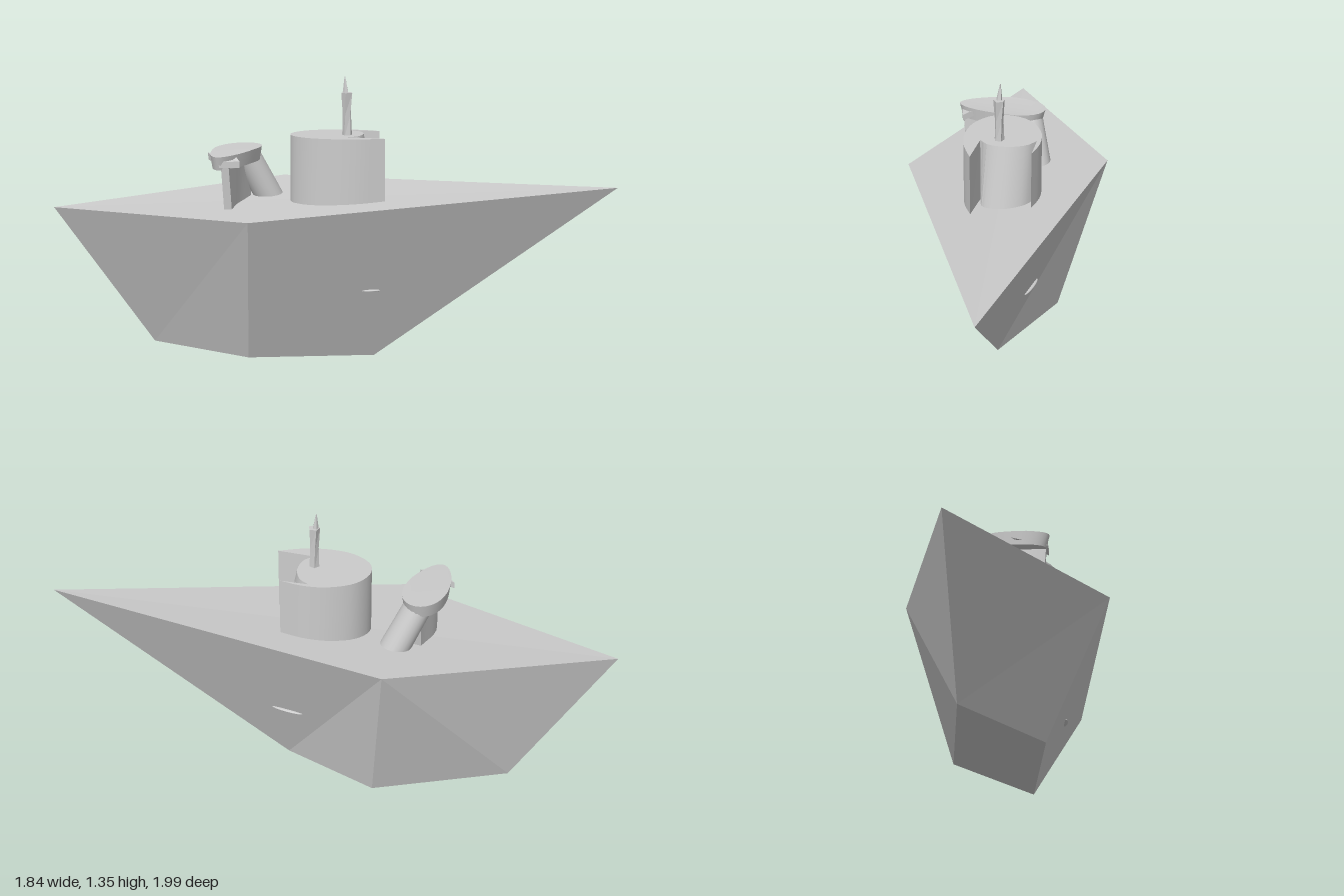
import * as THREE from 'three';
import { toCreasedNormals } from 'three/addons/utils/BufferGeometryUtils.js';

const material = new THREE.MeshStandardMaterial({ color: 0xcccccc, side: THREE.DoubleSide });
const V = (x, y, z) => new THREE.Vector3(x, y, z);

// Closed solid through horizontal loops of Vector3, lowest first, anticlockwise from above
function loft(loops, crease = 0.5, splitOtherWay = () => false) {
  const p = [];
  const tri = (...vs) => vs.forEach((v) => p.push(v.x, v.y, v.z));
  for (let k = 0; k < loops.length - 1; k++) {
    const b = loops[k], t = loops[k + 1];
    for (let i = 0; i < b.length; i++) {
      const j = (i + 1) % b.length;
      if (splitOtherWay(i)) { tri(b[i], b[j], t[i]); tri(b[j], t[j], t[i]); }
      else { tri(b[i], b[j], t[j]); tri(b[i], t[j], t[i]); }
    }
  }
  const cap = (loop, up) => {
    const flat = loop.map((v) => new THREE.Vector2(v.x, -v.z));
    for (const [a, b, c] of THREE.ShapeUtils.triangulateShape(flat, [])) {
      if (up) tri(loop[a], loop[b], loop[c]);
      else tri(loop[a], loop[c], loop[b]);
    }
  };
  cap(loops[0], false);
  cap(loops[loops.length - 1], true);
  const g = new THREE.BufferGeometry();
  g.setAttribute('position', new THREE.Float32BufferAttribute(p, 3));
  return toCreasedNormals(g, crease);
}

// Smooth open line through [x, z] points at height y
function smooth(points, y, n) {
  return new THREE.CatmullRomCurve3(points.map(([x, z]) => V(x, y, z))).getPoints(n);
}

export function createModel() {
  const model = new THREE.Group();
  const add = (name, geometry, parent = model) => {
    const m = new THREE.Mesh(geometry, material);
    m.name = name;
    parent.add(m);
    return m;
  };

  // Faceted hull with a sloping deck and a small keel
  const keel = [V(-0.64, 0.02, 0.6), V(-0.1, 0.02, 0.4), V(0.15, 0, -0.16), V(-0.35, 0.01, -0.01)];
  const deck = [V(-0.92, 0.69, 0.99), V(0.15, 0.725, 0.56), V(0.92, 0.84, -1), V(-0.56, 0.795, -0.12)];
  add('hull', loft([keel, deck], 0.02, (i) => i % 2 === 1));

  // Small bulges on the two long hull sides
  for (const [x, z, dx, dz, half] of [[0.264, -0.055, 0.42, -0.91, 0.045], [0.02, -0.25, 1.21, -0.7, 0.085]]) {
    const bulge = add('hullBulge', new THREE.SphereGeometry(1, 16, 8));
    bulge.scale.set(half, 0.006, 0.015);
    bulge.position.set(x, 0.352, z);
    bulge.rotation.y = Math.atan2(-dz, dx);
  }

  // Oval tower with a sloping bulged wall in its notched back
  const oval = [[0.04, -0.27], [-0.06, -0.21], [-0.14, -0.12], [-0.18, 0], [-0.155, 0.1], [-0.1, 0.153],
    [-0.04, 0.17], [0.06, 0.152], [0.16, 0.08], [0.23, -0.01], [0.28, -0.12]];
  const wallTop = [[0.135, -0.01], [0.135, -0.07], [0.08, -0.145], [0, -0.185], [-0.065, -0.18]];
  const wallFoot = [[0.145, -0.02], [0.2, -0.1], [0.15, -0.19], [0.06, -0.23], [-0.03, -0.215]];
  const section = (wall, y) => [...smooth(oval, y, 32), ...smooth(wall, y, 14)];
  add('tower', loft([section(wallFoot, 0.7), section(wallTop, 1.07)], 0.6));

  // Thin mast: a pinched, twisted shaft with a pointed blade
  const ring = (y, r, turn, cx = 0.063, cz = -0.06) => Array.from({ length: 5 }, (_, i) => {
    const a = turn + (i / 5) * Math.PI * 2;
    return V(cx + r * Math.cos(a), y, cz - r * Math.sin(a));
  });
  const mast = new THREE.Group();
  mast.name = 'mast';
  model.add(mast);
  add('mastShaft', loft([ring(1.05, 0.025, 0), ring(1.17, 0.021, 0.2), ring(1.27, 0.028, 0.4)], 0.1), mast);
  add('mastTip', loft([ring(1.25, 0.018, 0.3, 0.06, -0.055), ring(1.345, 0.002, 0.3, 0.052, -0.055)], 0.1), mast);

  // Side funnel: thin upright wall along a slanting line
  const funnel = new THREE.Group();
  funnel.name = 'funnel';
  model.add(funnel);
  const side = (points, y) => smooth(points, y, 10);
  const wallLoop = (y, grow) => [
    ...side([[-0.38 - grow, 0.24 - grow], [-0.29, 0.4], [-0.16 + grow * 0.3, 0.49 + grow]], y),
    ...side([[-0.14 + grow * 0.3, 0.46 + grow], [-0.25, 0.36], [-0.345 - grow, 0.22 - grow]], y),
  ];
  add('funnelWall', loft([wallLoop(0.735, 0), wallLoop(0.95, 0.02)], 0.6), funnel);

  // Oval hood that narrows and dips towards the front
  const hoodLoop = (y, size) => Array.from({ length: 32 }, (_, i) => {
    const a = (i / 32) * Math.PI * 2;
    const along = 0.22 * size * Math.cos(a);
    const across = 0.1 * size * (1 - 0.25 * Math.cos(a)) * Math.sin(a);
    return V(-0.28 + 0.58 * along + 0.81 * across, y - 0.06 * Math.max(0, along), 0.355 + 0.81 * along - 0.58 * across);
  });
  add('funnelHood', loft([hoodLoop(0.935, 0.92), hoodLoop(1.0, 1)], 0.6), funnel);

  // Leaning duct from the deck up to the back of the hood
  const ductLoop = (x, y, z, rx, rz) => Array.from({ length: 20 }, (_, i) => {
    const a = (i / 20) * Math.PI * 2;
    return V(x + rx * Math.cos(a), y, z - rz * Math.sin(a));
  });
  add('leaningDuct', loft([ductLoop(-0.315, 0.75, 0.135, 0.078, 0.075), ductLoop(-0.355, 0.985, 0.255, 0.07, 0.075)], 0.6), funnel);

  // Pointed fin at the front of the hood
  const fin = (y) => [V(-0.32, y + 0.02, 0.475), V(-0.155, y, 0.52), V(-0.1, y, 0.44), V(-0.17, y + 0.02, 0.42)];
  add('hoodFin', loft([fin(0.935), fin(0.965)], 0.1), funnel);

  return model;
}
